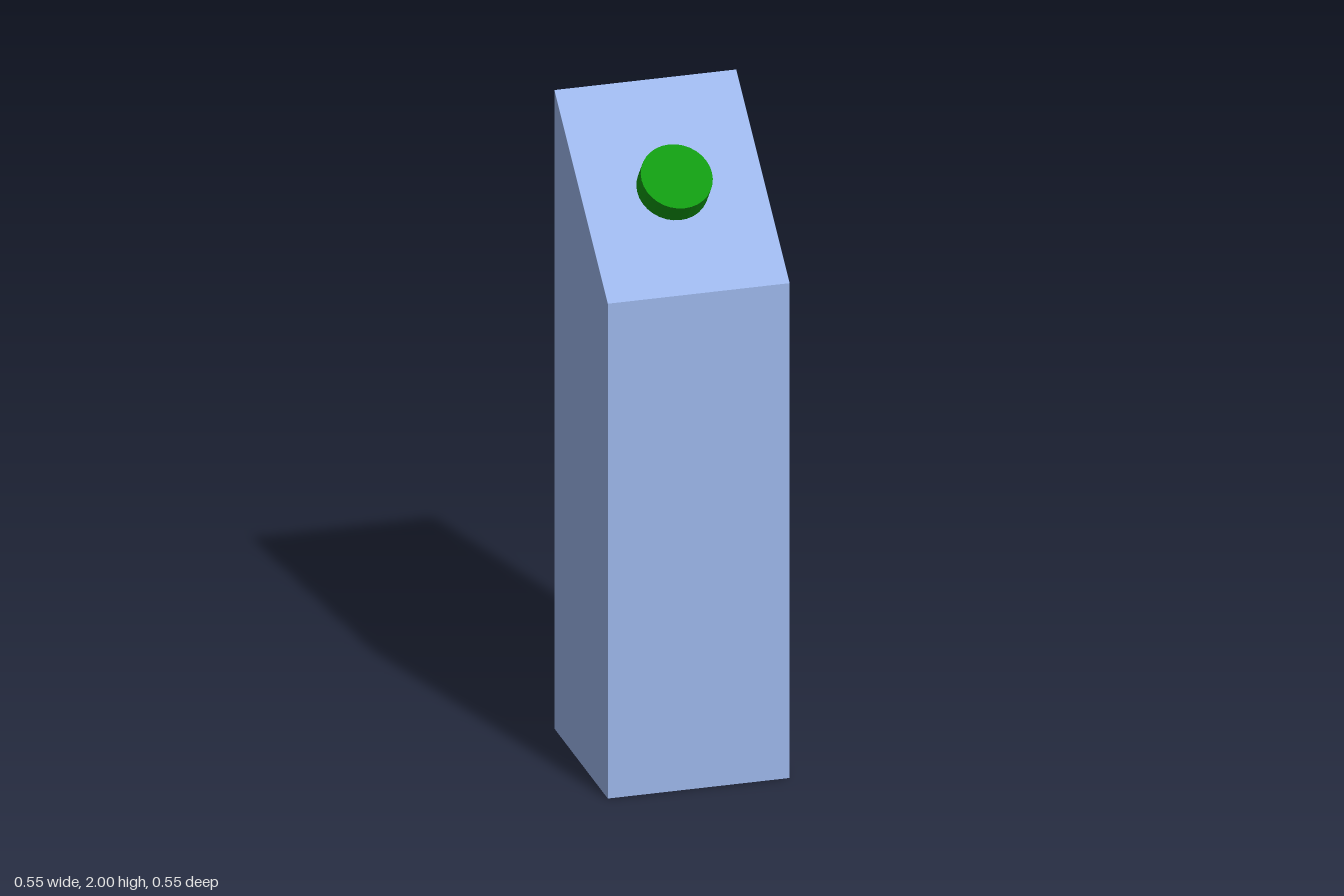
import * as THREE from 'three';

const HALF = 0.274;        // half width and depth of the pillar
const FRONT_Y = 1.55;      // top edge at the front
const BACK_Y = 2;          // top edge at the back
const TILT = Math.atan2(BACK_Y - FRONT_Y, HALF * 2);

export function createModel() {
  const group = new THREE.Group();

  // Square pillar with a sloping top: side profile (z, y) extruded across x
  const profile = new THREE.Shape([
    new THREE.Vector2(-HALF, 0),
    new THREE.Vector2(HALF, 0),
    new THREE.Vector2(HALF, FRONT_Y),
    new THREE.Vector2(-HALF, BACK_Y),
  ]);
  const pillarGeometry = new THREE.ExtrudeGeometry(profile, { depth: HALF * 2, bevelEnabled: false });
  pillarGeometry.translate(0, 0, -HALF).rotateY(-Math.PI / 2);
  const pillar = new THREE.Mesh(
    pillarGeometry,
    new THREE.MeshStandardMaterial({ color: 0x9bb5e9, flatShading: true })
  );
  pillar.name = 'pillar';
  group.add(pillar);

  // Round push button standing square to the slope
  const radius = 0.106, height = 0.071, z = 0.004;
  const button = new THREE.Mesh(
    new THREE.CylinderGeometry(radius, radius, height, 32).translate(0, height / 2, 0),
    new THREE.MeshStandardMaterial({ color: 0x119911, flatShading: true })
  );
  button.name = 'button';
  button.position.set(0, (FRONT_Y + BACK_Y) / 2 - z * Math.tan(TILT), z);
  button.rotation.x = TILT;
  group.add(button);

  return group;
}
